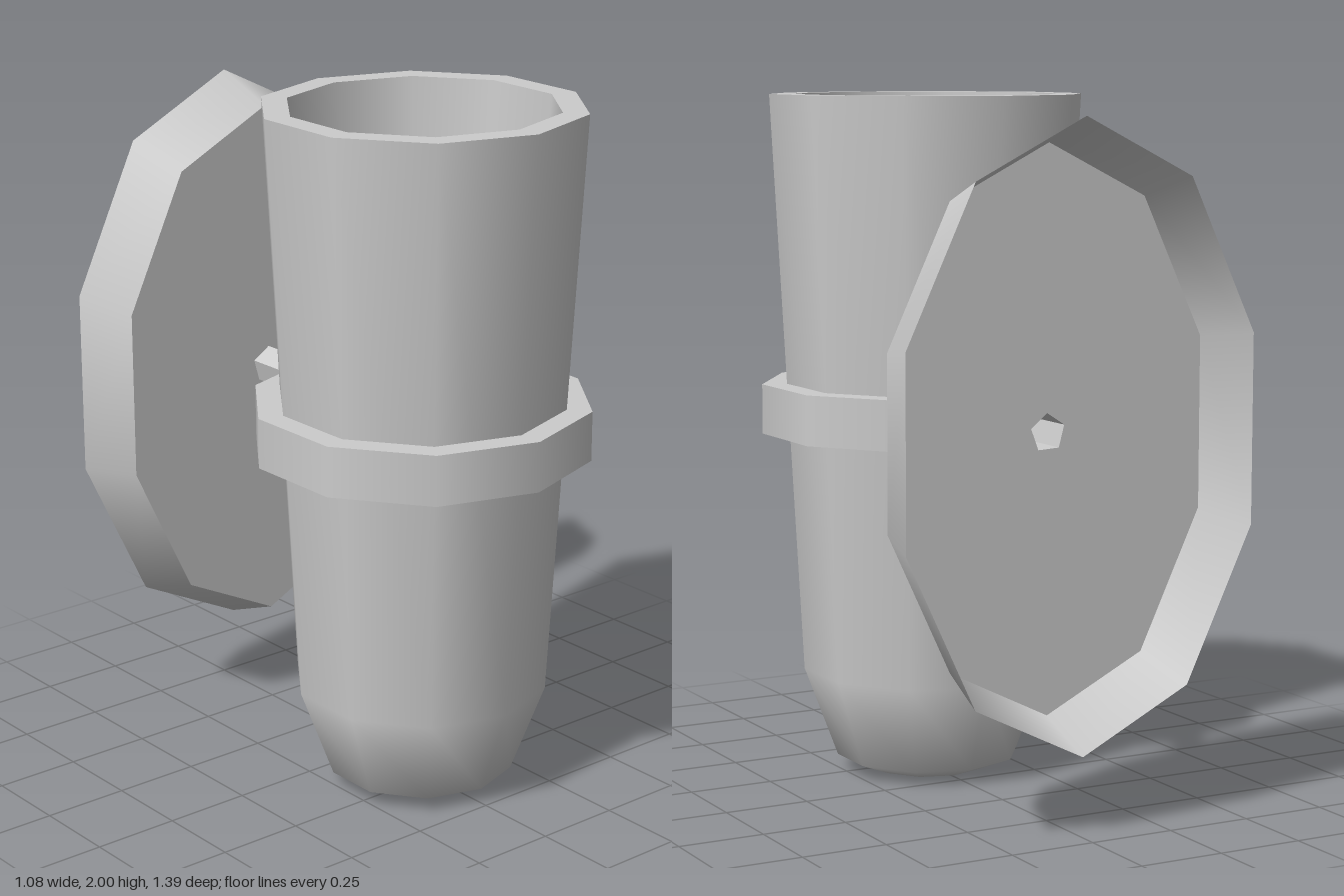
import * as THREE from 'three';

const SIDES = 10;
const CUP_Z = 0.207;
const PLATE_Y = 1.09;
const PLATE_Z = -0.5;

export function createModel() {
  const model = new THREE.Group();
  const grey = new THREE.MeshStandardMaterial({ color: 0xcccccc, side: THREE.DoubleSide });
  grey.name = 'light grey';

  const add = (name, geometry, parent) => {
    const mesh = new THREE.Mesh(geometry, grey);
    mesh.name = name;
    parent.add(mesh);
    return mesh;
  };
  // Ten-sided turned surface from [radius, height] pairs
  const turned = (...profile) =>
    new THREE.LatheGeometry(profile.map(([r, y]) => new THREE.Vector2(r, y)), SIDES);

  // Tapered hollow cup, with separate surfaces where edges are sharp
  const cup = new THREE.Group();
  cup.name = 'cup';
  cup.position.z = CUP_Z;
  model.add(cup);
  add('cupOuterWall', turned([0, 0], [0.17, 0.005], [0.272, 0.045], [0.37, 0.31], [0.46, 2]), cup);
  add('cupRim', turned([0.46, 2], [0.386, 2]), cup);
  add('cupInnerWall', turned([0.386, 2], [0.279, 0.3]), cup);
  add('cupFloor', turned([0.279, 0.3], [0, 0.3]), cup);

  // Band holding the cup
  const band = new THREE.Group();
  band.name = 'band';
  band.position.z = CUP_Z;
  model.add(band);
  add('bandSide', turned([0.488, 1.015], [0.488, 1.16]), band);
  add('bandTop', turned([0.488, 1.16], [0.4, 1.16]), band);
  add('bandUnderside', turned([0.4, 1.015], [0.488, 1.015]), band);

  // Oval wall plate: a dish open at the back
  const plate = new THREE.Group();
  plate.name = 'wallPlate';
  plate.position.set(0, PLATE_Y, PLATE_Z);
  model.add(plate);
  const skirt = turned([0.865, -0.196], [0.79, 0]);
  skirt.rotateX(Math.PI / 2).scale(0.655, 1, 1);
  add('plateSkirt', skirt, plate);

  const polygon = (sides, rx, ry, start) =>
    Array.from({ length: sides }, (_, i) => {
      const a = start + (i / sides) * Math.PI * 2;
      return new THREE.Vector2(Math.cos(a) * rx, Math.sin(a) * ry);
    });
  const face = new THREE.Shape(polygon(SIDES, 0.79 * 0.655, 0.79, Math.PI / 2));
  const rodAngle = THREE.MathUtils.degToRad(15);
  face.holes.push(new THREE.Path(polygon(5, 0.055, 0.055, rodAngle)));
  add('plateFace', new THREE.ShapeGeometry(face), plate);

  // Hollow five-sided rod from plate to band
  const length = 0.235;
  const tube = new THREE.CylinderGeometry(0.055, 0.055, length, 5, 1, true, rodAngle + Math.PI / 2);
  const rod = tube.rotateX(Math.PI / 2).toNonIndexed();
  rod.computeVertexNormals();
  add('mountingRod', rod, model).position.set(0, PLATE_Y, PLATE_Z + length / 2);

  return model;
}
